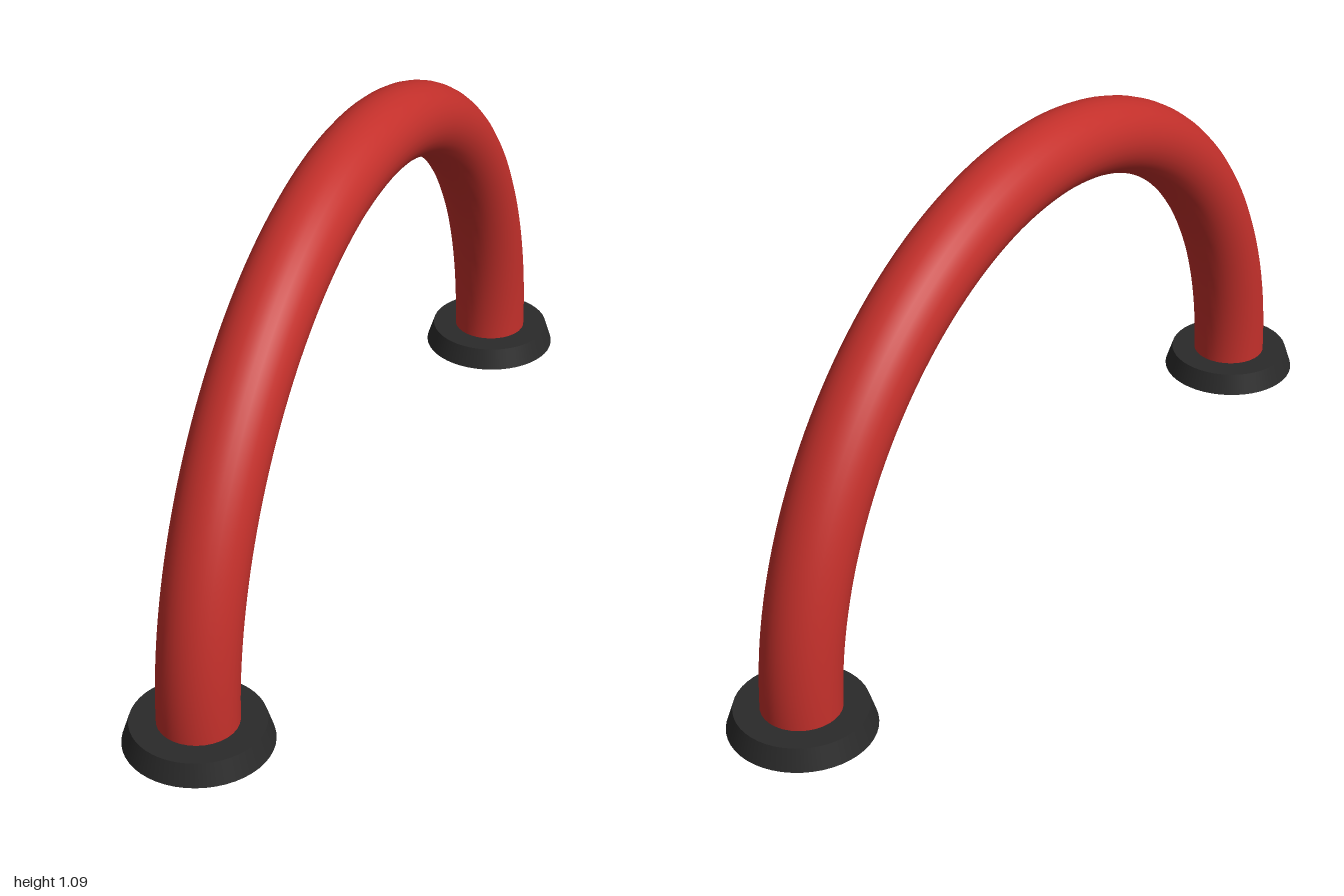
import * as THREE from 'three';

export function createModel() {
  const group = new THREE.Group();
  const red = new THREE.MeshStandardMaterial({ color: 0xc4302b });
  const black = new THREE.MeshStandardMaterial({ color: 0x2a2a2a });
  const span = 0.944, padHeight = 0.053;

  // half-ring tube standing on the pads
  const arch = new THREE.Mesh(new THREE.TorusGeometry(span, 0.093, 32, 96, Math.PI), red);
  arch.name = 'archTube';
  arch.position.y = padHeight;
  group.add(arch);

  // tapered round foot pads
  for (const side of [-1, 1]) {
    const pad = new THREE.Mesh(new THREE.CylinderGeometry(0.153, 0.17, padHeight, 48), black);
    pad.name = side > 0 ? 'leftFootPad' : 'rightFootPad';
    pad.position.set(side * span, padHeight / 2, 0);
    group.add(pad);
  }

  // the arch stands diagonally
  group.rotation.y = Math.atan2(0.452, 0.83);

  const model = new THREE.Group();
  model.name = 'arch';
  model.add(group);
  return model;
}
